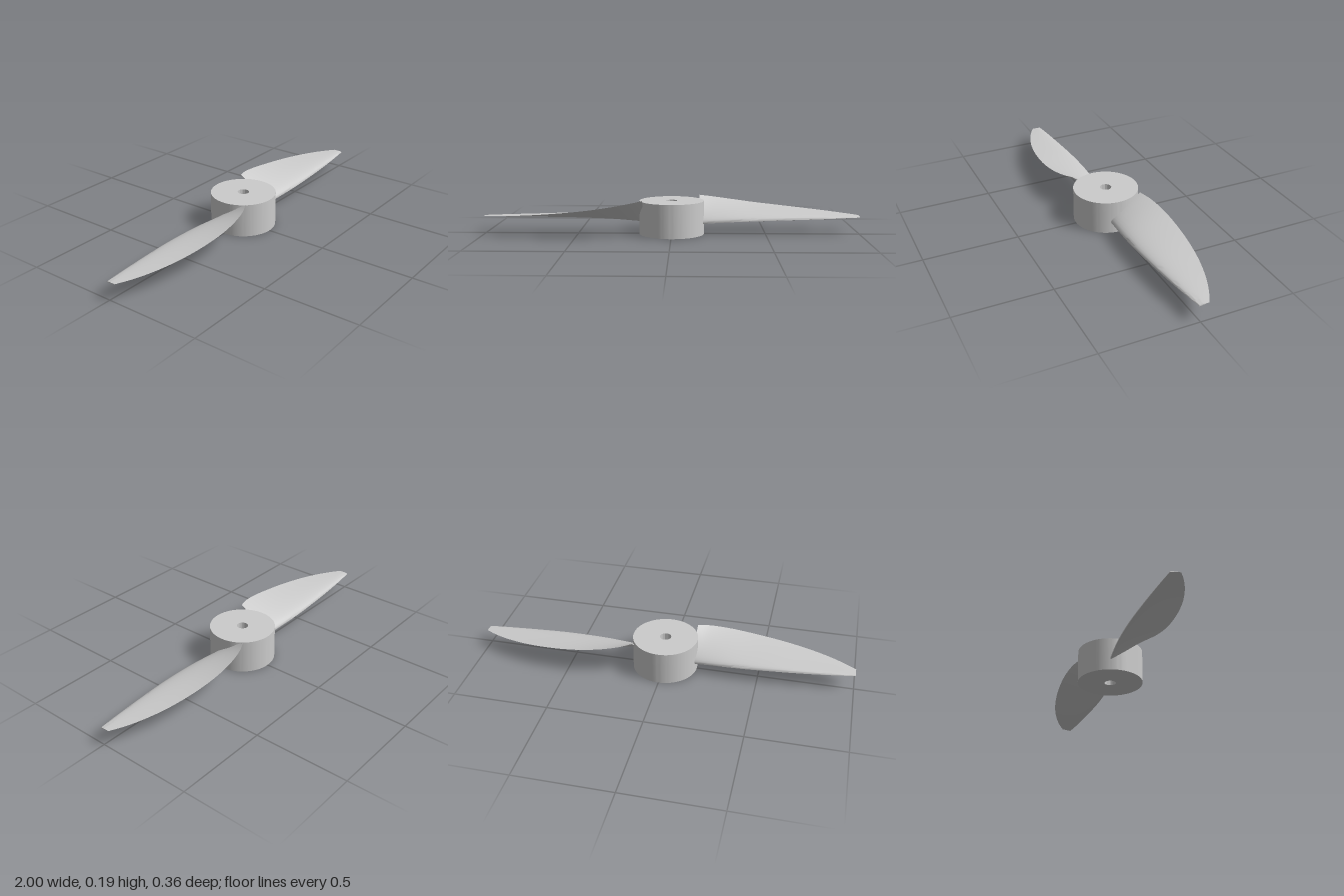
import * as THREE from 'three';
import { toCreasedNormals } from 'three/addons/utils/BufferGeometryUtils.js';

const HUB_RADIUS = 0.172, HUB_HEIGHT = 0.178, BORE_RADIUS = 0.03;

// Blade stations from root to tip: x, leading edge z and y, trailing edge z and y
const STATIONS = [
  [0.15, 0.042, 0.057, -0.128, 0.192],
  [0.22, 0.048, 0.063, -0.157, 0.18],
  [0.32, 0.054, 0.07, -0.176, 0.164],
  [0.44, 0.056, 0.075, -0.181, 0.147],
  [0.58, 0.051, 0.08, -0.172, 0.132],
  [0.72, 0.041, 0.083, -0.149, 0.119],
  [0.84, 0.03, 0.086, -0.115, 0.109],
  [0.93, 0.02, 0.089, -0.078, 0.102],
  [1.0, 0.011, 0.091, -0.04, 0.097],
];

const edgeCurve = (k) => new THREE.CatmullRomCurve3(
  STATIONS.map((s) => new THREE.Vector3(s[0], s[k + 1], s[k])), false, 'catmullrom', 0.5);

// Airfoil outline: trailing edge, over the top to the nose, back underneath
function airfoil(half) {
  const points = [];
  for (let i = 0; i < half * 2; i++) {
    const s = (1 + Math.cos((i / half) * Math.PI)) / 2;
    const bulge = 2.6 * (Math.sqrt(s) - s) * (1 - 0.3 * s);
    points.push([s, bulge * (i <= half ? 0.125 : -0.025)]);
  }
  return points;
}

// Twisted blade lofted between its two edges, closed at both ends
function bladeGeometry(steps = 48, half = 16) {
  const leading = edgeCurve(1), trailing = edgeCurve(3);
  const outline = airfoil(half), n = outline.length;
  const position = [], index = [];
  for (let i = 0; i <= steps; i++) {
    const a = leading.getPoint(i / steps), b = trailing.getPoint(i / steps);
    const dz = b.z - a.z, dy = b.y - a.y;
    for (const [s, t] of outline) position.push(a.x, a.y + s * dy - t * dz, a.z + s * dz + t * dy);
  }
  for (let i = 0; i < steps; i++) {
    for (let j = 0; j < n; j++) {
      const a = i * n + j, b = i * n + (j + 1) % n;
      index.push(a, b, a + n, b, b + n, a + n);
    }
  }
  const tip = steps * n;
  for (let j = 1; j < n - 1; j++) {
    index.push(0, j + 1, j);
    index.push(tip, tip + j, tip + j + 1);
  }
  const geometry = new THREE.BufferGeometry();
  geometry.setAttribute('position', new THREE.Float32BufferAttribute(position, 3));
  geometry.setIndex(index);
  return toCreasedNormals(geometry, Math.PI / 4);
}

// Cylinder with a shaft bore through it
function hubGeometry() {
  const shape = new THREE.Shape().absarc(0, 0, HUB_RADIUS, 0, Math.PI * 2, false);
  shape.holes.push(new THREE.Path().absarc(0, 0, BORE_RADIUS, 0, Math.PI * 2, true));
  const geometry = new THREE.ExtrudeGeometry(shape, { depth: HUB_HEIGHT, bevelEnabled: false, curveSegments: 64 });
  geometry.rotateX(-Math.PI / 2);
  return toCreasedNormals(geometry, Math.PI / 5);
}

export function createModel() {
  const model = new THREE.Group();
  model.name = 'propeller';
  const material = new THREE.MeshStandardMaterial({ color: 0xcccccc });

  const hub = new THREE.Mesh(hubGeometry(), material);
  hub.name = 'hub';
  model.add(hub);

  // Two identical blades, half a turn apart
  const geometry = bladeGeometry();
  ['leftBlade', 'rightBlade'].forEach((name, i) => {
    const blade = new THREE.Mesh(geometry, material);
    blade.name = name;
    blade.rotation.y = i * Math.PI;
    model.add(blade);
  });
  return model;
}
